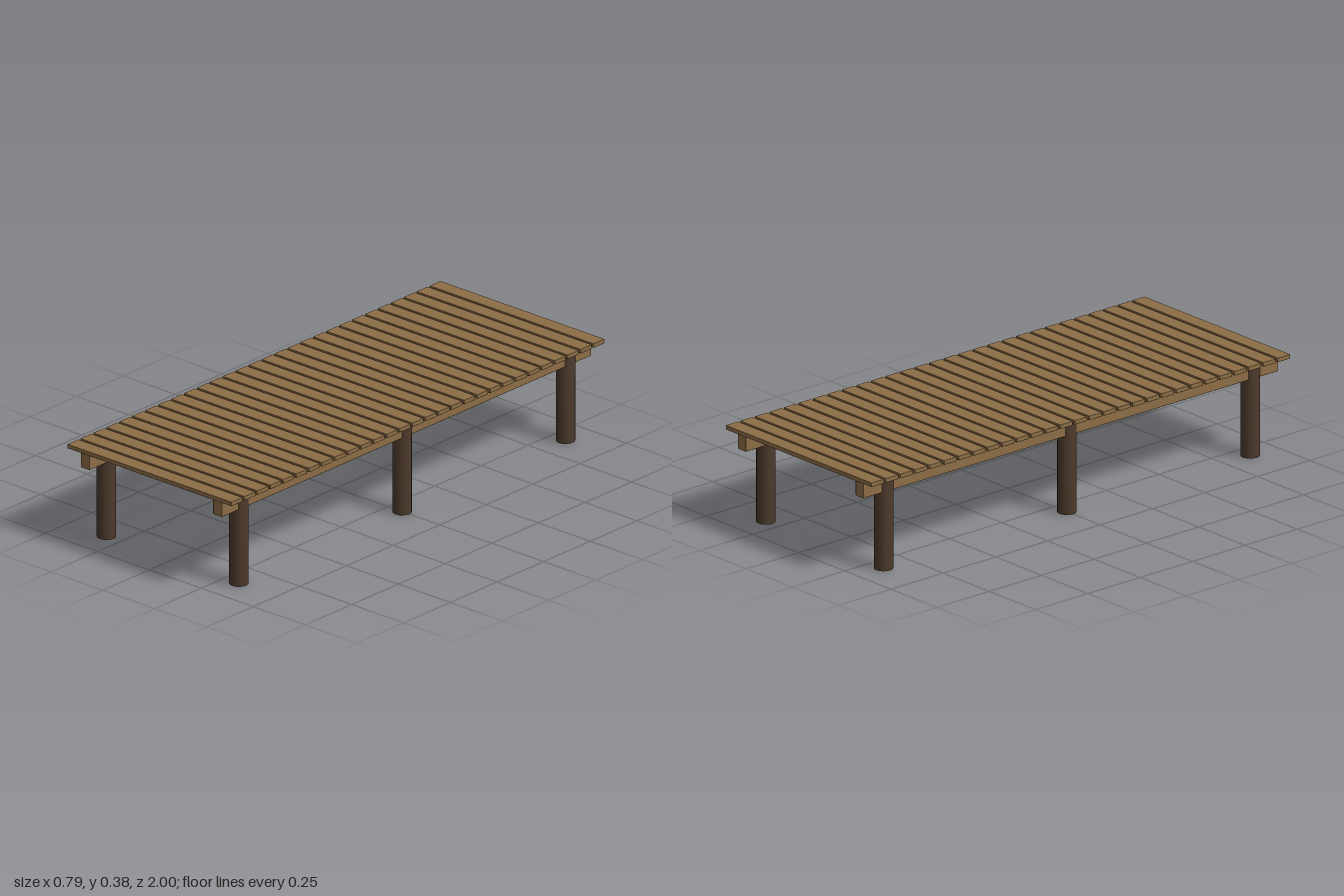
import * as THREE from 'three';
import { RoundedBoxGeometry } from 'three/addons/geometries/RoundedBoxGeometry.js';
import { mergeVertices } from 'three/addons/utils/BufferGeometryUtils.js';

const PLANKS = 29, PLANK_DEPTH = 0.06, DECK_BOTTOM = 0.36, DECK_TOP = 0.377;

// Post with normals shared between side and caps, for soft ends
function postGeometry(radius, height) {
  const g = new THREE.CylinderGeometry(radius, radius, height, 16);
  g.deleteAttribute('uv');
  g.deleteAttribute('normal');
  const soft = mergeVertices(g, 1e-4);
  soft.computeVertexNormals();
  return soft;
}

export function createModel() {
  const model = new THREE.Group();
  model.name = 'woodenDock';

  const plankWood = new THREE.MeshStandardMaterial({ color: 0x8c6d46 });
  plankWood.name = 'plankWood';
  const postWood = new THREE.MeshStandardMaterial({ color: 0x4d3a2b });
  postWood.name = 'postWood';

  const add = (name, geometry, material, x, y, z) => {
    const mesh = new THREE.Mesh(geometry, material);
    mesh.name = name;
    mesh.position.set(x, y, z);
    model.add(mesh);
  };

  // Deck planks, evenly spaced with narrow gaps
  const thickness = DECK_TOP - DECK_BOTTOM;
  const plank = new RoundedBoxGeometry(0.792, thickness, PLANK_DEPTH, 1, 0.0025);
  const pitch = (2 - PLANK_DEPTH) / (PLANKS - 1);
  for (let i = 0; i < PLANKS; i++) {
    add('plank', plank, plankWood, 0, DECK_BOTTOM + thickness / 2, -1 + PLANK_DEPTH / 2 + i * pitch);
  }

  // Long beams and the posts that carry them
  const beam = new RoundedBoxGeometry(0.044, 0.061, 1.98, 1, 0.003);
  const post = postGeometry(0.035, DECK_BOTTOM);
  for (const side of [-1, 1]) {
    add('beam', beam, plankWood, side * 0.319, 0.3295, 0);
    for (const z of [-0.875, 0, 0.875]) {
      add('post', post, postWood, side * 0.319, DECK_BOTTOM / 2, z);
    }
  }
  return model;
}
